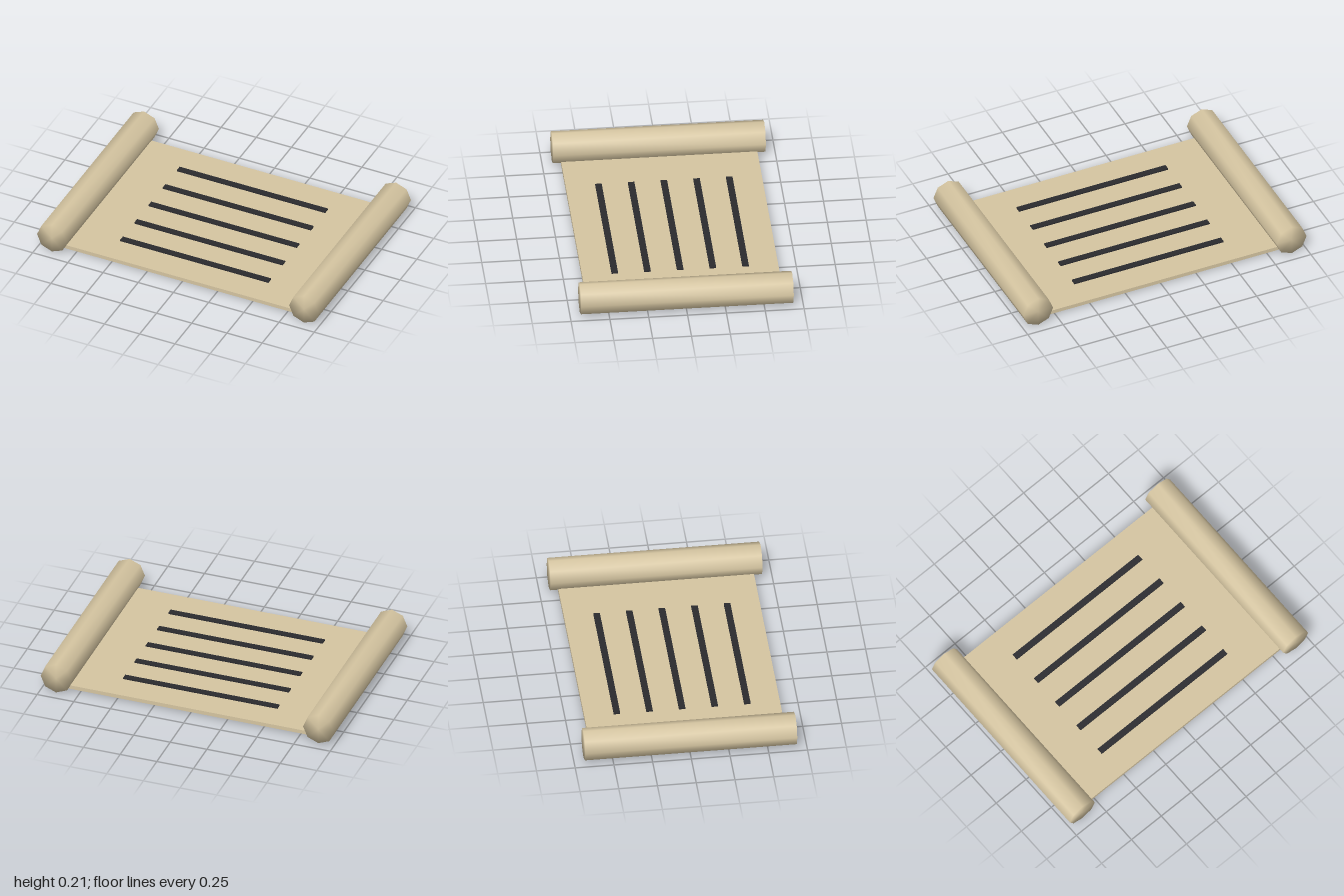
import * as THREE from 'three';
import { mergeVertices } from 'three/addons/utils/BufferGeometryUtils.js';

export function createModel() {
  const group = new THREE.Group();
  const paper = new THREE.MeshStandardMaterial({ color: 0xd4c4a0 });
  const ink = new THREE.MeshStandardMaterial({ color: 0x2a2a2e });

  function add(name, geometry, material, x, y, z) {
    const mesh = new THREE.Mesh(geometry, material);
    mesh.name = name;
    mesh.position.set(x, y, z);
    group.add(mesh);
  }

  // Unrolled sheet, its ends buried in the rolls
  add('sheet', new THREE.BoxGeometry(1.79, 0.026, 1.263), paper, 0, 0.026, 0);

  // Eight-sided rolls, shaded smoothly across sides and ends
  let roll = new THREE.CylinderGeometry(0.105, 0.105, 1.368, 8);
  roll.rotateX(Math.PI / 2);
  roll.deleteAttribute('normal');
  roll.deleteAttribute('uv');
  roll = mergeVertices(roll, 1e-4);
  roll.computeVertexNormals();
  add('leftRoll', roll, paper, 0.895, 0.105, 0);
  add('rightRoll', roll, paper, -0.895, 0.105, 0);

  // Raised ruled lines
  const line = new THREE.BoxGeometry(1.053, 0.0105, 0.042);
  for (let i = -2; i <= 2; i++) add('line' + (i + 3), line, ink, 0, 0.0425, i * 0.2105);

  return group;
}
